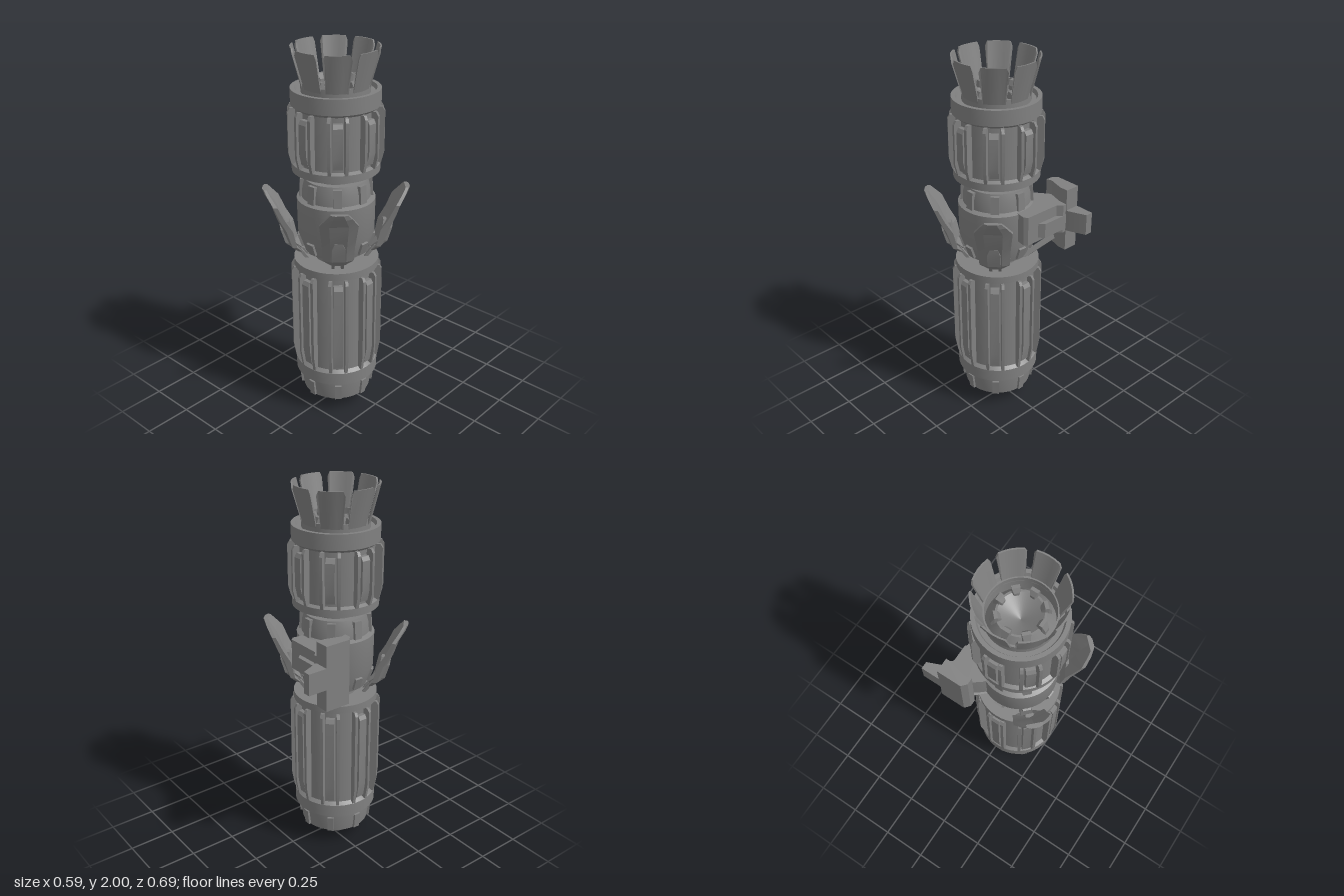
import * as THREE from 'three';
import { toCreasedNormals } from 'three/addons/utils/BufferGeometryUtils.js';

const mat = new THREE.MeshStandardMaterial({ color: 0x808080, side: THREE.DoubleSide });

function add(parent, name, geo, crease = 0.5) {
  const mesh = new THREE.Mesh(toCreasedNormals(geo, crease), mat);
  mesh.name = name;
  parent.add(mesh);
  return mesh;
}

// Turned part; profile runs from bottom to top as [radius, y]
function turned(parent, name, profile) {
  return add(parent, name, new THREE.LatheGeometry(profile.map(p => new THREE.Vector2(...p)), 48));
}

// Skin over equal-sized closed cross-sections, capped at both ends
function loft(sections) {
  const n = sections[0].length, last = (sections.length - 1) * n, idx = [];
  for (let s = 0; s < sections.length - 1; s++) {
    for (let i = 0; i < n; i++) {
      const a = s * n + i, b = s * n + (i + 1) % n;
      idx.push(a, a + n, b, b, a + n, b + n);
    }
  }
  for (let i = 1; i < n - 1; i++) idx.push(0, i, i + 1, last, last + i + 1, last + i);
  const geo = new THREE.BufferGeometry();
  geo.setAttribute('position', new THREE.Float32BufferAttribute(sections.flat(2), 3));
  geo.setIndex(idx);
  return geo;
}

// Outline extruded to a given depth, centred on z
function slab(points, depth) {
  const shape = new THREE.Shape(points.map(p => new THREE.Vector2(...p)));
  return new THREE.ExtrudeGeometry(shape, { depth, bevelEnabled: false }).translate(0, 0, -depth / 2);
}

// Horizontal plate with an [x, z] outline
function plate(points, y0, y1) {
  return slab(points.map(([x, z]) => [x, -z]), y1 - y0).rotateX(-Math.PI / 2).translate(0, (y0 + y1) / 2, 0);
}

// Square bar between two points
function bar(parent, name, from, to, size) {
  const a = new THREE.Vector3(...from), b = new THREE.Vector3(...to);
  const mesh = add(parent, name, new THREE.BoxGeometry(size, a.distanceTo(b), size));
  mesh.position.copy(a).lerp(b, 0.5);
  mesh.quaternion.setFromUnitVectors(new THREE.Vector3(0, 1, 0), b.sub(a).normalize());
}

// Upright rib lying on the barrel, with sloping ends
const rib = (r0, r1, y0, y1, width, slope) =>
  slab([[r0, y0], [r1 - 0.015, y0], [r1, y0 + slope], [r1, y1 - 0.02], [r1 - 0.012, y1], [r0, y1]], width);

// Eight groups of two ribs and a centre panel
function ribs(parent, name, y0, y1, slope) {
  const group = new THREE.Group();
  group.name = name;
  parent.add(group);
  for (let i = 0; i < 8; i++) {
    const a = i * Math.PI / 4;
    for (const s of [-1, 1]) add(group, 'rib', rib(0.19, 0.243, y0, y1, 0.016, slope)).rotation.y = a + s * 0.185;
    add(group, 'ribPanel', rib(0.19, 0.238, y0 + 0.03, y1 - 0.03, 0.046, slope)).rotation.y = a;
  }
}

// Ring of eight small blocks
function blocks(parent, name, r, y, size, tilt = 0) {
  for (let i = 0; i < 8; i++) {
    const geo = new THREE.BoxGeometry(...size).rotateZ(tilt).translate(r, y, 0);
    add(parent, name, geo).rotation.y = i * Math.PI / 4;
  }
}

// One curved, flared petal of the crown
function petal() {
  return loft([-1, -0.85, -0.4, 0, 0.4, 0.85, 1].map(t => {
    const top = Math.abs(t) === 1 ? 1.975 : 2;
    const at = (r, y) => [r * Math.cos(t * 0.32), y, r * Math.sin(t * 0.32)];
    return [at(0.161, 1.8), at(0.17, 1.8), at(0.22, top), at(0.212, top)];
  }));
}

// Leaf-shaped wing: rows of [radius, y, half width, thickness]
function wing() {
  const rows = [
    [0.195, 0.925, 0.04, 0.03], [0.225, 0.965, 0.078, 0.04], [0.253, 1.06, 0.083, 0.055],
    [0.285, 1.12, 0.088, 0.045], [0.317, 1.2, 0.096, 0.034], [0.35, 1.25, 0.064, 0.03], [0.365, 1.278, 0.042, 0.024],
  ];
  return loft(rows.map(([r, y, w, t]) => [
    [r - t * 0.5, y, -w], [r + t * 0.1, y, -w], [r + t * 0.5, y, -w * 0.5], [r + t * 0.5, y, w * 0.5],
    [r + t * 0.1, y, w], [r - t * 0.5, y, w], [r - t * 0.1, y, 0],
  ]));
}

export function createModel() {
  const root = new THREE.Group();
  root.name = 'ribbedCylinderDevice';
  const body = new THREE.Group();
  body.name = 'body';
  body.position.z = 0.05;
  root.add(body);

  // Tapered foot inside an open skirt
  turned(body, 'footAndSkirt', [[0, 0], [0.085, 0], [0.11, 0.08], [0.11, 0.17], [0.165, 0.17],
    [0.165, 0.08], [0.185, 0.08], [0.197, 0.17], [0.197, 0.2]]);
  blocks(body, 'skirtTab', 0.188, 0.13, [0.03, 0.09, 0.036], -0.1);

  // Lower barrel
  turned(body, 'lowerBarrel', [[0.16, 0.2], [0.224, 0.2], [0.224, 0.27], [0.205, 0.285], [0.205, 0.835],
    [0.224, 0.845], [0.224, 0.885], [0.11, 0.885]]);
  ribs(body, 'lowerRibs', 0.275, 0.84, 0.09);

  // Waist
  turned(body, 'waist', [[0.11, 0.88], [0.11, 0.93], [0.165, 0.935], [0.2, 1.04], [0.203, 1.225], [0.178, 1.235],
    [0.174, 1.29], [0.162, 1.335], [0.125, 1.335], [0.125, 1.39]]);
  blocks(body, 'upperWaistTab', 0.172, 1.28, [0.03, 0.095, 0.044], 0.06);
  blocks(body, 'lowerWaistTab', 0.178, 0.985, [0.03, 0.07, 0.044], -0.32);

  // Upper barrel with a raised dish in its mouth
  turned(body, 'upperBarrel', [[0.12, 1.38], [0.224, 1.38], [0.224, 1.42], [0.205, 1.43], [0.205, 1.705],
    [0.224, 1.72], [0.224, 1.8], [0.203, 1.8], [0.195, 1.78], [0.172, 1.78], [0.172, 1.83], [0.162, 1.83],
    [0.161, 1.73], [0.115, 1.81], [0.105, 1.81], [0, 1.74]]);
  ribs(body, 'upperRibs', 1.42, 1.71, 0.06);
  // Clamps taper towards the centre of the dish
  for (let i = 0; i < 8; i++) {
    const geo = loft([[0.138, 1.77, 1.8, 0.014], [0.122, 1.77, 1.845, 0.02], [0.105, 1.77, 1.845, 0.02], [0.09, 1.77, 1.82, 0.012]]
      .map(([r, y0, y1, w]) => [[r, y0, -w], [r, y0, w], [r, y1, w], [r, y1, -w]]));
    add(body, 'dishClamp', geo, 0.2).rotation.y = i * Math.PI / 4;
  }

  // Crown of petals
  const petalGeo = petal();
  for (let i = 0; i < 8; i++) add(body, 'petal', petalGeo).rotation.y = i * Math.PI / 4;

  // Three wings on struts
  for (const a of [1, -1, -3]) {
    const arm = new THREE.Group();
    arm.name = 'wingArm';
    arm.rotation.y = a * Math.PI / 4;
    body.add(arm);
    add(arm, 'wing', wing(), 0.2);
    add(arm, 'wingBoss', loft([[0.215, 0.94, 0.025], [0.255, 0.975, 0.034], [0.278, 1.05, 0.034], [0.285, 1.09, 0.02]]
      .map(([r, y, w]) => [[r - 0.04, y, -w], [r + 0.012, y, -w], [r + 0.012, y, w], [r - 0.04, y, w]])), 0.2);
    for (const z of [-0.024, 0.024]) bar(arm, 'wingStrut', [0.145, 0.87, z], [0.205, 0.95, z], 0.016);
  }

  // Side bracket in place of the fourth wing
  const bracket = new THREE.Group();
  bracket.name = 'sideBracket';
  root.add(bracket);
  add(bracket, 'bracketUpright', plate([[-0.3, -0.24], [-0.22, -0.24], [-0.22, -0.19], [-0.245, -0.105],
    [-0.235, -0.076], [-0.272, -0.076], [-0.3, -0.1]], 0.96, 1.31));
  add(bracket, 'bracketFin', plate([[-0.3, -0.346], [-0.26, -0.346], [-0.22, -0.25], [-0.22, -0.2], [-0.3, -0.2]], 1.08, 1.195));
  add(bracket, 'bracketMount', plate([[-0.24, -0.235], [-0.2, -0.238], [-0.175, -0.214], [0.025, -0.214], [0.04, -0.195],
    [0.03, -0.12], [-0.15, 0], [-0.2, -0.04], [-0.245, -0.1]], 1.07, 1.23));
  add(bracket, 'bracketLedge', plate([[-0.23, -0.24], [-0.07, -0.24], [-0.045, -0.214], [-0.045, -0.18], [-0.23, -0.18]], 1.09, 1.17));
  bar(bracket, 'bracketStrut', [-0.25, 1.0, -0.14], [-0.1, 0.88, -0.04], 0.03);

  return root;
}
